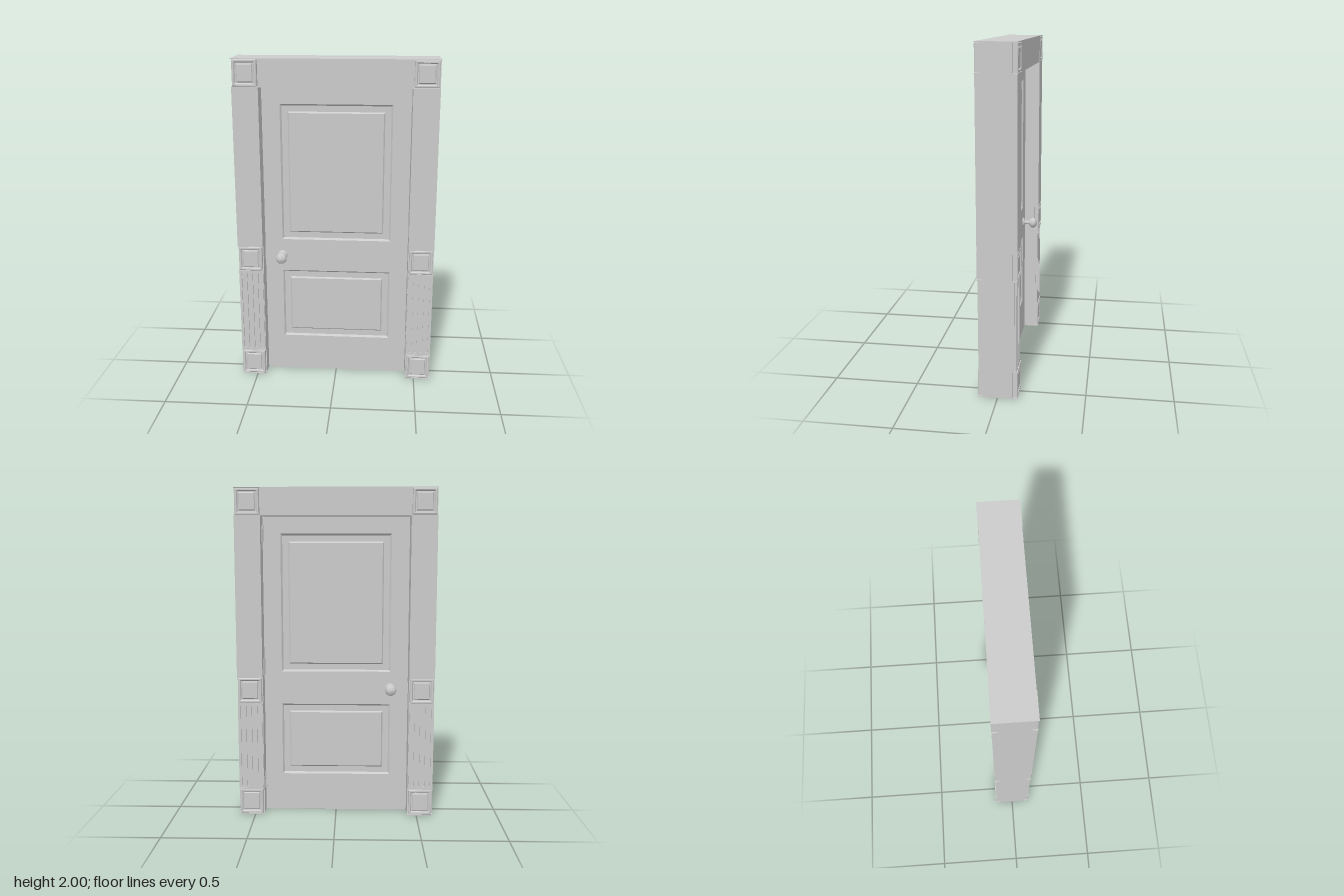
import * as THREE from 'three';

const mat = new THREE.MeshStandardMaterial({ color: 0xcccccc, flatShading: true });
const smooth = new THREE.MeshStandardMaterial({ color: 0xcccccc });

function add(parent, name, geometry, x = 0, y = 0, z = 0, material = mat) {
  const m = new THREE.Mesh(geometry, material);
  m.name = name;
  m.position.set(x, y, z);
  parent.add(m);
  return m;
}

const box = (parent, name, x0, x1, y0, y1, z0, z1) =>
  add(parent, name, new THREE.BoxGeometry(x1 - x0, y1 - y0, z1 - z0),
    (x0 + x1) / 2, (y0 + y1) / 2, (z0 + z1) / 2);

// Stepped rectangular moulding facing +z: steps are [inset, z], last one capped
function moulding(w, h, steps) {
  const pos = [];
  const ring = ([i, z]) => [[-1, -1], [1, -1], [1, 1], [-1, 1]].map(
    ([sx, sy]) => [sx * (w / 2 - i), sy * (h / 2 - i), z]);
  const quad = (a, b, c, d) => pos.push(...a, ...b, ...c, ...a, ...c, ...d);
  for (let s = 0; s < steps.length - 1; s++) {
    const a = ring(steps[s]), b = ring(steps[s + 1]);
    for (let k = 0; k < 4; k++) {
      const n = (k + 1) % 4;
      quad(a[k], a[n], b[n], b[k]);
    }
  }
  quad(...ring(steps[steps.length - 1]));
  const g = new THREE.BufferGeometry();
  g.setAttribute('position', new THREE.Float32BufferAttribute(pos, 3));
  g.computeVertexNormals();
  return g;
}

function rectPath(path, x0, x1, y0, y1) {
  path.moveTo(x0, y0);
  path.lineTo(x1, y0);
  path.lineTo(x1, y1);
  path.lineTo(x0, y1);
  path.closePath();
  return path;
}

const IN = 0.445, OUT = 0.6, HEAD = 1.835;
const FACE = 0.113, CORE = 0.085, FRONT = 0.115, DOOR = 0.022;
const BLOCKS = [[0, 0.168], [0.705, 0.87], [HEAD, 2]];
const PANELS = [[0.235, 0.685], [0.89, 1.73]];

// Square ornamental block with a framed centre
function cornerBlock(parent, y0, y1) {
  const g = new THREE.Group();
  g.name = 'ornamentBlock';
  parent.add(g);
  add(g, 'blockMoulding', moulding(OUT - IN, y1 - y0, [
    [0, CORE], [0.006, CORE], [0.006, 0.111], [0.01, FRONT], [0.018, FRONT],
    [0.024, 0.107], [0.029, 0.107], [0.034, 0.113]]), (IN + OUT) / 2, (y0 + y1) / 2, 0);
  for (const y of [y0, y1 - 0.005])
    box(g, 'blockLip', IN, OUT, y, y + 0.005, CORE, FRONT);
}

// Fluted lower shaft: plate with four round-ended slots over a back plate
function flutedShaft(parent, y0, y1) {
  box(parent, 'fluteBack', IN, OUT, y0, y1, CORE, 0.099);
  const shape = rectPath(new THREE.Shape(), IN + 0.004, OUT - 0.004, y0, y1);
  const r = 0.009;
  for (let i = 0; i < 4; i++) {
    const x = (IN + OUT) / 2 + (i - 1.5) * 0.034;
    const slot = new THREE.Path();
    slot.absarc(x, y0 + 0.012 + r, r, Math.PI, 2 * Math.PI, false);
    slot.absarc(x, y1 - 0.012 - r, r, 0, Math.PI, false);
    slot.closePath();
    shape.holes.push(slot);
  }
  add(parent, 'flutedPlate', new THREE.ExtrudeGeometry(shape,
    { depth: 0.011, bevelEnabled: false, curveSegments: 6 }), 0, 0, 0.099);
}

// Ornament of one post on one side, built at +x and +z
function postTrim(parent) {
  for (const [y0, y1] of BLOCKS) cornerBlock(parent, y0, y1);
  flutedShaft(parent, BLOCKS[0][1], BLOCKS[1][0]);
  box(parent, 'upperShaft', IN, OUT, BLOCKS[1][1], BLOCKS[2][0], CORE, FACE);
}

// Knob turned around its axis, pointing to +z
function knob() {
  const pts = [[0.03, 0], [0.03, 0.006], [0.022, 0.011], [0.012, 0.014], [0.011, 0.04],
    [0.02, 0.046], [0.03, 0.056], [0.034, 0.067], [0.031, 0.08], [0.02, 0.09], [0, 0.094]];
  return new THREE.LatheGeometry(pts.map(p => new THREE.Vector2(...p)), 16).rotateX(Math.PI / 2);
}

export function createModel() {
  const model = new THREE.Group();
  model.name = 'panelledDoor';

  // Frame: post cores, header and trim on all four post faces
  const frame = new THREE.Group();
  frame.name = 'frame';
  model.add(frame);
  for (const s of [0, 1]) {
    const x0 = s ? IN : -OUT;
    box(frame, 'postCore', x0, x0 + OUT - IN, 0, 2, -CORE, CORE);
  }
  box(frame, 'header', -IN, IN, HEAD, 2, -FACE, FACE);
  // The trim is symmetric in the post, so half turns and shifts place all four
  for (const turn of [0, Math.PI])
    for (const shift of [0, -(IN + OUT)]) {
      const side = new THREE.Group();
      side.name = turn ? 'backSide' : 'frontSide';
      side.rotation.y = turn;
      const trim = new THREE.Group();
      trim.name = 'postTrim';
      trim.position.x = shift;
      postTrim(trim);
      side.add(trim);
      frame.add(side);
    }

  // Door leaf with two panel openings
  const door = new THREE.Group();
  door.name = 'door';
  model.add(door);
  const leaf = rectPath(new THREE.Shape(), -IN + 0.003, IN - 0.003, 0.002, HEAD - 0.003);
  for (const [y0, y1] of PANELS)
    leaf.holes.push(rectPath(new THREE.Path(), -0.335, 0.335, y0, y1));
  add(door, 'doorLeaf', new THREE.ExtrudeGeometry(leaf,
    { depth: 2 * DOOR, bevelEnabled: false }), 0, 0, -DOOR);

  // Sunken mouldings with raised centre, and a knob, on both sides
  for (const s of [1, -1]) {
    for (const [y0, y1] of PANELS) {
      const p = add(door, 'doorPanel', moulding(0.67, y1 - y0, [
        [0, DOOR], [0.003, DOOR - 0.003], [0.01, DOOR - 0.012],
        [0.046, DOOR - 0.012], [0.054, DOOR - 0.003]]), 0, (y0 + y1) / 2, 0);
      if (s < 0) p.rotation.y = Math.PI;
    }
    const k = add(door, 'doorKnob', knob(), -0.335, 0.787, s * DOOR, smooth);
    if (s < 0) k.rotation.y = Math.PI;
  }

  // Hinges at the back of the left edge, latch plate at the right edge
  for (const y of [0.2, 0.92, 1.73]) {
    box(door, 'hingeLeaf', IN - 0.003, IN + 0.001, y - 0.05, y + 0.05, -0.05, -DOOR);
    add(door, 'hingePin', new THREE.CylinderGeometry(0.005, 0.005, 0.1, 8), IN - 0.004, y, -DOOR - 0.004);
  }
  box(door, 'latchPlate', -IN - 0.001, -IN + 0.003, 0.757, 0.817, -0.018, 0.018);
  return model;
}
